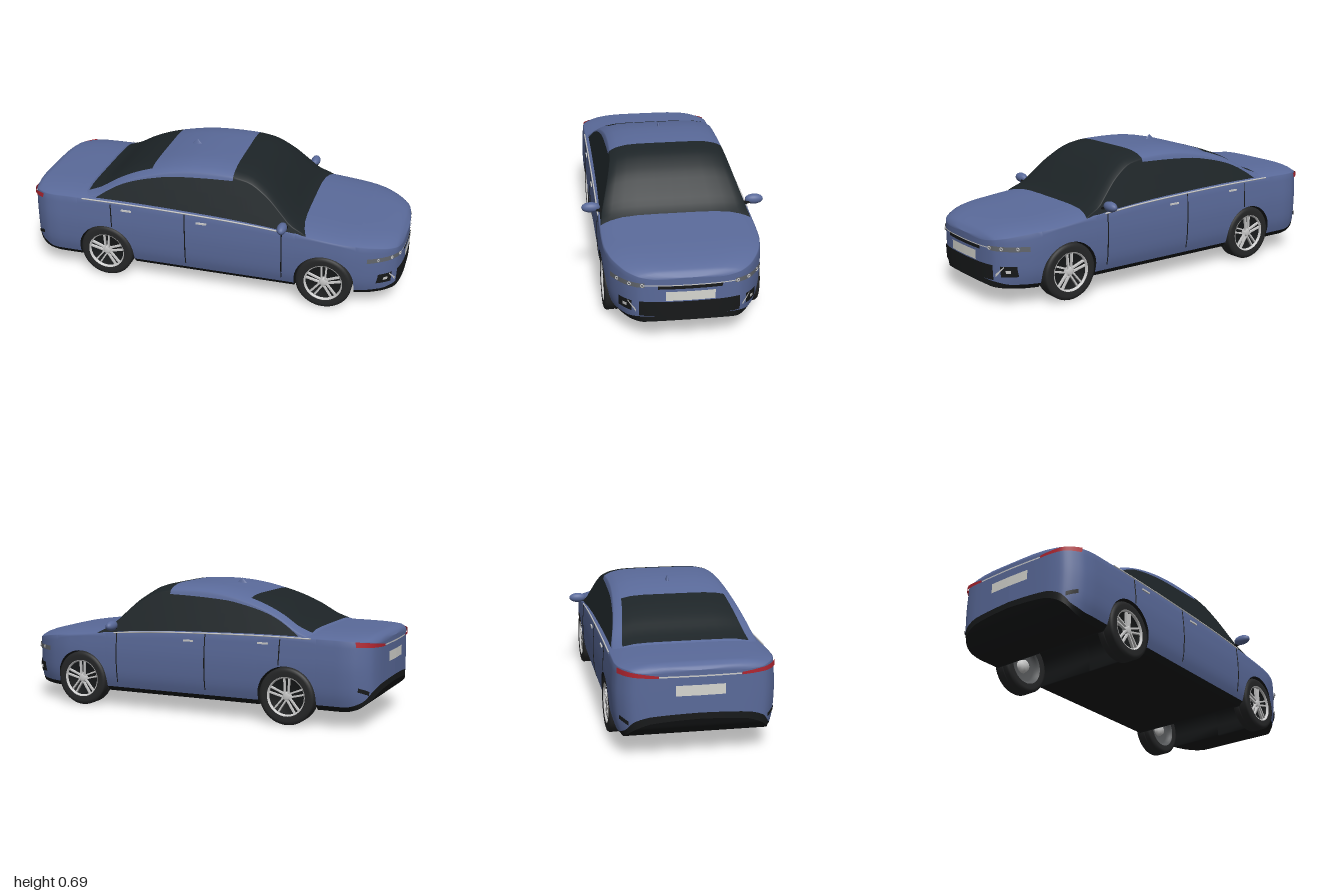
import * as THREE from 'three';

const mat = (color, side = THREE.FrontSide) => new THREE.MeshStandardMaterial({ color, side });
const M = {
  paint: mat(0x5a6a9a), glass: mat(0x1d2427), trim: mat(0x17191a, THREE.DoubleSide),
  rubber: mat(0x262728), silver: mat(0xcccccc, THREE.DoubleSide), rim: mat(0x555759, THREE.DoubleSide),
  red: mat(0xb02530, THREE.DoubleSide), lamp: mat(0x62666c, THREE.DoubleSide), plate: mat(0xd6d6d0, THREE.DoubleSide),
};

// Smooth monotone curve through [x, y] points
function curve(pts) {
  const d = pts.slice(1).map((p, i) => (p[1] - pts[i][1]) / (p[0] - pts[i][0]));
  const m = pts.map((p, i) => {
    if (i === 0) return d[0];
    if (i === d.length) return d[i - 1];
    return d[i - 1] * d[i] <= 0 ? 0 : 2 * d[i - 1] * d[i] / (d[i - 1] + d[i]);
  });
  return (x) => {
    if (x <= pts[0][0]) return pts[0][1];
    if (x >= pts[pts.length - 1][0]) return pts[pts.length - 1][1];
    let i = 0;
    while (x > pts[i + 1][0]) i++;
    const h = pts[i + 1][0] - pts[i][0], t = (x - pts[i][0]) / h, u = 1 - t;
    return pts[i][1] * u * u * (1 + 2 * t) + pts[i + 1][1] * t * t * (3 - 2 * t) + h * t * u * (m[i] * u - m[i + 1] * t);
  };
}

// Body outline: plan half width, side bulge, deck height, floor and sill height
const plan = curve([[-1, 0], [-0.997, 0.12], [-0.99, 0.24], [-0.97, 0.315], [-0.93, 0.355], [-0.88, 0.38], [-0.82, 0.388],
  [0.6, 0.388], [0.7, 0.385], [0.8, 0.367], [0.9, 0.318], [0.97, 0.245], [0.99, 0.17], [0.998, 0.08], [1, 0]]);
const bulge = curve([[0.08, 0.87], [0.12, 0.95], [0.2, 0.99], [0.3, 1], [0.38, 0.99], [0.47, 0.97]]);
const deck = curve([[-1, 0.435], [-0.985, 0.452], [-0.95, 0.465], [-0.7, 0.47], [-0.5, 0.47], [0, 0.46], [0.3, 0.445],
  [0.5, 0.427], [0.65, 0.412], [0.8, 0.397], [0.9, 0.38], [0.97, 0.357], [1, 0.33]]);
const floor = curve([[-1, 0.2], [-0.97, 0.15], [-0.9, 0.1], [-0.84, 0.087], [0.85, 0.087], [0.96, 0.094], [1, 0.11]]);
const sill = curve([[-1, 0.23], [-0.93, 0.14], [-0.85, 0.115], [0.9, 0.112], [1, 0.135]]);
const edgeDrop = (x) => Math.min(0.03, plan(x) * 0.1);
const sideZ = (x, y) => plan(x) * bulge(y);
const WHEELS = [-0.555, 0.625], AXLE = 0.145, ARCH = 0.153;

// x of the nose (end = 1) or tail (end = -1) at a given z and y
function endX(z, y, end) {
  let a = 0.5, b = 1;
  for (let i = 0; i < 30; i++) {
    const c = (a + b) / 2;
    if (sideZ(c * end, y) > Math.abs(z)) a = c; else b = c;
  }
  return a * end;
}

// Skin mirrored cross-sections; pick() names the part each face belongs to
function loft(group, sections, pick, materials) {
  const pos = [], parts = {}, h = sections[0].pts.length, n = 2 * h - 1;
  for (const { x, pts } of sections)
    for (let j = 0; j < n; j++) {
      const [y, z] = pts[j < h ? j : n - 1 - j];
      pos.push(x, y, j < h ? z : -z);
    }
  for (let i = 0; i < sections.length - 1; i++)
    for (let j = 0; j < n - 1; j++) {
      const a = i * n + j, b = a + n;
      const key = pick((sections[i].x + sections[i + 1].x) / 2, j < h - 1 ? j : n - 2 - j);
      (parts[key] ??= []).push(a, b, a + 1, b, b + 1, a + 1);
    }
  for (const key in parts) {
    const g = new THREE.BufferGeometry();
    g.setAttribute('position', new THREE.Float32BufferAttribute(pos, 3));
    g.setIndex(parts[key]);
    g.computeVertexNormals();
    add(group, key, g, materials[key]);
  }
}

function add(group, name, geo, material, x = 0, y = 0, z = 0) {
  const m = new THREE.Mesh(geo, material);
  m.name = name;
  m.position.set(x, y, z);
  group.add(m);
  return m;
}

function buildBody(car) {
  const st = [];
  for (let i = 0; i <= 24; i++) {
    const x = 1 - 0.2 * (1 - i / 24) ** 2.5;
    st.push([x, floor(x)], [-x, floor(-x)]);
  }
  for (let x = -0.78; x < 0.8; x += 0.03)
    if (WHEELS.every((c) => Math.abs(x - c) > ARCH + 0.005)) st.push([x, floor(x)]);
  for (const c of WHEELS) {
    for (let k = 0; k <= 28; k++) {
      const a = Math.PI * (1 - k / 28);
      st.push([c + ARCH * Math.cos(a), AXLE + ARCH * Math.sin(a)]);
    }
    for (const s of [-1, 1]) st.push([c + s * (ARCH + 0.0005), 0.087]);
  }
  st.sort((p, q) => p[0] - q[0]);
  const sections = st.map(([x, yb]) => {
    const ys = Math.max(yb, sill(x)), drop = edgeDrop(x), y1 = deck(x) - drop;
    const pts = [[yb, 0], [yb, sideZ(x, yb)], [ys, sideZ(x, ys)]];
    for (let k = 1; k <= 10; k++) {
      const y = ys + (y1 - ys) * k / 10;
      pts.push([y, sideZ(x, y)]);
    }
    for (const f of [0.985, 0.96, 0.92, 0.85, 0.7, 0.5, 0.25, 0]) pts.push([y1 + drop * (1 - f ** 5), sideZ(x, y1) * f]);
    return { x, pts };
  });
  loft(car, sections, (x, j) => (j === 0 ? 'underbody' : j === 1 ? 'sill' : 'bodyShell'),
    { underbody: M.trim, sill: M.trim, bodyShell: M.paint });
}

function buildCabin(car) {
  const top = curve([[-0.74, 0.445], [-0.67, 0.474], [-0.6, 0.5], [-0.5, 0.558], [-0.4, 0.602], [-0.3, 0.633], [-0.2, 0.655],
    [-0.1, 0.668], [0, 0.672], [0.1, 0.67], [0.2, 0.655], [0.3, 0.601], [0.4, 0.512], [0.48, 0.436], [0.53, 0.405]]);
  const windowTop = curve([[-0.62, 0.44], [-0.5, 0.518], [-0.4, 0.557], [-0.3, 0.582], [-0.2, 0.6], [0, 0.613], [0.125, 0.617]]);
  const sideAt = (y) => 0.372 - 0.34 * (y - 0.41);
  const xs = [-0.32, 0.125];
  for (let i = 0; i <= 50; i++) xs.push(-0.74 + 1.27 * i / 50);
  xs.sort((a, b) => a - b);
  const sections = xs.map((x) => {
    const t = top(x), base = Math.min(0.405, t - 0.02), drop = Math.min(0.035, (t - base) * 0.5), ye = t - drop;
    const yg = Math.max(base, Math.min(ye - 0.006, windowTop(x)));
    const pts = [0, 0.33, 0.67, 1].map((k) => base + (yg - base) * k).concat((yg + ye) / 2, ye).map((y) => [y, sideAt(y)]);
    for (const f of [0.985, 0.96, 0.92, 0.86, 0.7, 0.5, 0.25, 0]) pts.push([ye + drop * (1 - f ** 6), sideAt(ye) * f]);
    return { x, pts };
  });
  loft(car, sections, (x, j) => {
    if (x > 0.125) return 'windscreen';
    if (j < 3) return x > -0.63 ? 'sideWindows' : 'roof';
    return x < -0.32 && x > -0.67 && j >= 9 ? 'rearWindow' : 'roof';
  }, { windscreen: M.glass, sideWindows: M.glass, rearWindow: M.glass, roof: M.paint });
  const fin = add(car, 'roofFin', new THREE.ConeGeometry(0.03, 0.03, 12), M.paint, -0.155, 0.675, 0);
  fin.scale.z = 0.3;
}

// Thin panel that follows the nose or tail between z0 and z1
function endPanel(car, name, material, end, z0, z1, low, high, mirror = true, lift = 0.004) {
  for (const s of mirror ? [1, -1] : [1]) {
    const g = new THREE.PlaneGeometry(1, 1, 16, 3), p = g.attributes.position;
    for (let i = 0; i < p.count; i++) {
      const u = p.getX(i) + 0.5, v = p.getY(i) + 0.5, z = z0 + (z1 - z0) * u;
      const lo = low[0] + (low[1] - low[0]) * u, y = lo + (high[0] + (high[1] - high[0]) * u - lo) * v;
      p.setXYZ(i, endX(z, y, end) + end * lift, y, s * z * (1 + lift * 3));
    }
    g.computeVertexNormals();
    add(car, name, g, material);
  }
}

// Thin strip along both body sides through (x, y) points
function sideStrip(car, name, material, pts, r) {
  for (const s of [1, -1]) {
    const path = new THREE.CatmullRomCurve3(pts.map(([x, y]) => new THREE.Vector3(x, y, s * sideZ(x, y))));
    add(car, name, new THREE.TubeGeometry(path, 20, r, 6), material);
  }
}

function buildDetails(car) {
  // Nose
  endPanel(car, 'headlight', M.lamp, 1, 0.21, 0.355, [0.283, 0.28], [0.305, 0.305]);
  for (const z of [0.222, 0.278, 0.328]) for (const s of [1, -1]) {
    const ring = add(car, 'lampRing', new THREE.TorusGeometry(0.007, 0.0025, 6, 16), M.silver, endX(z, 0.294, 1) + 0.007, 0.294, s * z * 1.012);
    ring.rotation.y = s * (Math.PI / 2 - 0.45);
  }
  endPanel(car, 'upperGrille', M.trim, 1, -0.15, 0.15, [0.275, 0.275], [0.291, 0.291], false);
  endPanel(car, 'noseStrip', M.silver, 1, -0.215, 0.215, [0.292, 0.292], [0.297, 0.297], false, 0.005);
  endPanel(car, 'frontPlate', M.plate, 1, -0.115, 0.115, [0.216, 0.216], [0.262, 0.262], false, 0.005);
  endPanel(car, 'lowerGrille', M.trim, 1, -0.235, 0.235, [0.135, 0.135], [0.21, 0.21], false);
  endPanel(car, 'fogLampRecess', M.trim, 1, 0.268, 0.322, [0.152, 0.155], [0.207, 0.207]);
  endPanel(car, 'fogLamp', M.silver, 1, 0.288, 0.304, [0.172, 0.172], [0.188, 0.188], true, 0.006);
  endPanel(car, 'bumperBlade', M.silver, 1, 0.247, 0.283, [0.152, 0.2], [0.166, 0.207], true, 0.006);
  // Tail
  endPanel(car, 'tailLight', M.red, -1, 0.19, 0.366, [0.402, 0.412], [0.414, 0.438], true, 0.006);
  endPanel(car, 'tailStrip', M.silver, -1, -0.19, 0.19, [0.404, 0.404], [0.411, 0.411], false);
  endPanel(car, 'rearPlate', M.plate, -1, -0.115, 0.115, [0.315, 0.315], [0.365, 0.365], false);
  endPanel(car, 'rearVent', M.trim, -1, 0.325, 0.362, [0.175, 0.195], [0.195, 0.215]);
  // Sides
  const belt = [-0.68, -0.4, -0.1, 0.2, 0.42].map((x) => [x, deck(x) - 0.029]);
  sideStrip(car, 'beltStrip', M.silver, belt, 0.004);
  sideStrip(car, 'doorSeam', M.trim, [[-0.515, 0.3], [-0.517, 0.36], [-0.52, 0.43]], 0.003);
  for (const x of [-0.11, 0.405]) sideStrip(car, 'doorSeam', M.trim, [[x, 0.14], [x, 0.2], [x, 0.3], [x - 0.003, deck(x) - 0.032]], 0.003);
  for (const [x, y] of [[-0.43, 0.405], [-0.02, 0.392]])
    for (const s of [1, -1]) add(car, 'doorHandle', new THREE.BoxGeometry(0.056, 0.009, 0.012), M.silver, x, y, s * sideZ(x, y));
  for (const s of [1, -1]) {
    const mirror = add(car, 'wingMirror', new THREE.SphereGeometry(1, 24, 16), M.paint, 0.412, 0.447, s * 0.417);
    mirror.scale.set(0.025, 0.026, 0.047);
    const stalk = add(car, 'mirrorStalk', new THREE.BoxGeometry(0.022, 0.012, 0.05), M.trim, 0.42, 0.432, s * 0.37);
    stalk.rotation.x = -s * 0.3;
  }
}

function buildWheel() {
  const wheel = new THREE.Group();
  wheel.name = 'wheel';
  const lathe = (name, pts, material) => {
    add(wheel, name, new THREE.LatheGeometry(pts.map(([r, h]) => new THREE.Vector2(r, h)), 48), material).rotation.x = Math.PI / 2;
  };
  lathe('tyre', [[0.1, -0.044], [0.125, -0.047], [0.139, -0.043], [0.145, -0.034], [0.145, -0.012], [0.141, -0.01], [0.141, -0.006],
    [0.145, -0.004], [0.145, 0.034], [0.139, 0.043], [0.125, 0.047], [0.1, 0.044]], M.rubber);
  lathe('rimBarrel', [[0, -0.01], [0.08, -0.01], [0.088, -0.035], [0.1, -0.044]], M.rim);
  lathe('rimBack', [[0, 0.016], [0.09, 0.016], [0.1, 0.044]], M.trim);
  lathe('rimEdge', [[0.091, 0.034], [0.094, 0.043], [0.1, 0.045]], M.silver);
  lathe('hub', [[0.022, 0.016], [0.022, 0.036], [0.014, 0.04], [0, 0.04]], M.silver);
  lathe('innerHub', [[0, -0.034], [0.03, -0.034], [0.036, -0.01]], M.silver);
  // Five pairs of spokes
  for (let k = 0; k < 5; k++) for (const s of [-1, 1]) {
    const g = new THREE.BoxGeometry(0.008, 0.08, 0.014);
    g.translate(s * 0.008, 0.054, 0.031);
    add(wheel, 'spoke', g, M.silver).rotation.z = k * Math.PI * 0.4 - s * 0.06;
  }
  return wheel;
}

export function createModel() {
  const car = new THREE.Group();
  car.name = 'sedan';
  buildBody(car);
  buildCabin(car);
  buildDetails(car);
  for (const x of WHEELS) for (const s of [1, -1]) {
    const wheel = buildWheel();
    wheel.position.set(x, AXLE, s * 0.337);
    if (s < 0) wheel.rotation.y = Math.PI;
    car.add(wheel);
  }
  return car;
}
